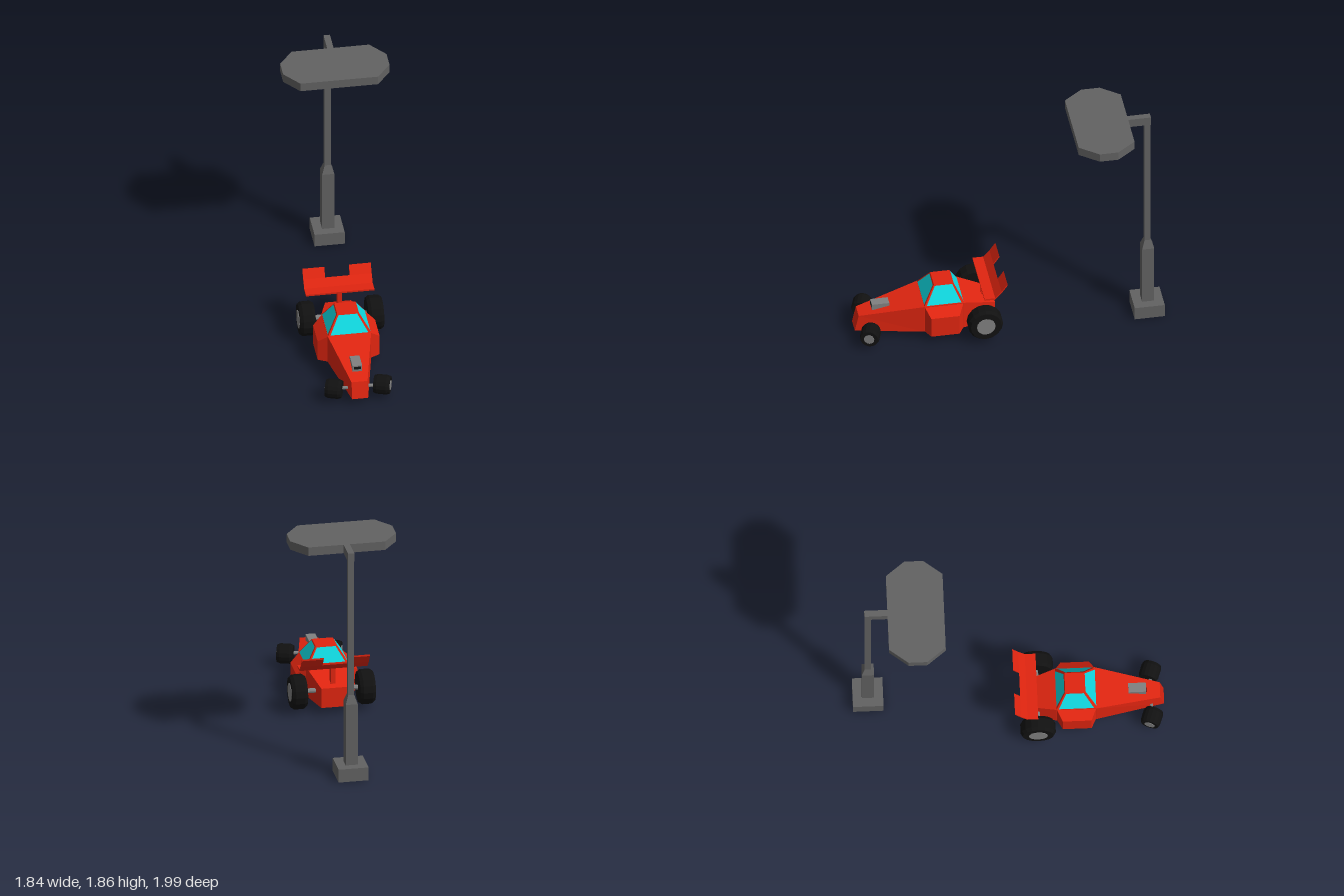
import * as THREE from 'three';

const mat = (name, color) => {
  const m = new THREE.MeshStandardMaterial({ color });
  m.name = name;
  return m;
};

// Faceted solid through cross-sections, each counter-clockwise seen from the far end
function loft(sections) {
  const pos = [];
  const tri = (a, b, c) => pos.push(...a, ...b, ...c);
  const n = sections[0].length;
  for (let i = 0; i < sections.length - 1; i++) {
    const s = sections[i], t = sections[i + 1];
    for (let j = 0; j < n; j++) {
      const k = (j + 1) % n;
      tri(s[j], s[k], t[k]);
      tri(s[j], t[k], t[j]);
    }
  }
  const first = sections[0], last = sections[sections.length - 1];
  for (let j = 1; j < n - 1; j++) {
    tri(first[0], first[j + 1], first[j]);
    tri(last[0], last[j], last[j + 1]);
  }
  const g = new THREE.BufferGeometry();
  g.setAttribute('position', new THREE.Float32BufferAttribute(pos, 3));
  g.computeVertexNormals();
  return g;
}

const mirrorX = (sections) => sections.map((s) => s.map(([x, y, z]) => [-x, y, z]).reverse());
const rect = (w, y, z0, z1) => [[w, y, z1], [w, y, z0], [-w, y, z0], [-w, y, z1]];
const plan = (pts, y0, y1) => loft([y0, y1].map((y) => pts.map(([x, z]) => [x, y, z])));

function facet(g) {
  const f = g.toNonIndexed();
  f.computeVertexNormals();
  return f;
}

export function createModel() {
  const red = mat('redPaint', 0xe02510);
  const glass = mat('cyanGlass', 0x10d8e0);
  const rubber = mat('blackRubber', 0x111111);
  const metal = mat('greyMetal', 0x808080);
  const steel = mat('darkGreySteel', 0x626262);
  const lightMat = mat('lightPanel', 0xdcdcdc);

  const add = (parent, name, geo, material) => {
    const m = new THREE.Mesh(geo, material);
    m.name = name;
    parent.add(m);
    return m;
  };
  const box = (parent, name, material, size, at) => {
    const m = add(parent, name, new THREE.BoxGeometry(...size), material);
    m.position.set(...at);
    return m;
  };

  const model = new THREE.Group();
  model.name = 'raceCarAndFloodlight';

  // ---- Car, built facing +z and then turned ----
  const car = new THREE.Group();
  car.name = 'raceCar';
  car.position.set(0.3, 0, 0.37);
  car.rotation.y = Math.PI / 4;
  model.add(car);

  // Hull: rear deck, cockpit section, sloping nose
  const hull = [[-0.42, -0.42, 0.1, 0.22], [-0.166, -0.166, 0.168, 0.297],
    [0.14, 0.14, 0.168, 0.297], [0.662, 0.632, 0.062, 0.197]];
  add(car, 'hull', loft(hull.map(([zb, zt, w, y]) =>
    [[w, 0.06, zb], [w, y, zt], [-w, y, zt], [-w, 0.06, zb]])), red);

  // Side pods
  const pod = [[0.16, -0.166, 0.14, 0.297], [0.24, -0.121, 0.099, 0.23]].map(([x, z0, z1, y]) =>
    [[x, 0.06, z0], [x, y, z0], [x, y, z1], [x, 0.06, z1]]);
  add(car, 'leftPod', loft(pod), red);
  add(car, 'rightPod', loft(mirrorX(pod)), red);

  // Cabin and its four windows
  const low = rect(0.166, 0.295, -0.166, 0.14), high = rect(0.08, 0.435, -0.096, 0.051);
  add(car, 'cabin', loft([low, high]), red);
  ['leftWindow', 'rearWindow', 'rightWindow', 'windscreen'].forEach((name, j) => {
    const [a, b, c, d] = [low[j], low[(j + 1) % 4], high[(j + 1) % 4], high[j]]
      .map((p) => new THREE.Vector3(...p));
    const out = b.clone().sub(a).cross(d.clone().sub(a)).normalize().multiplyScalar(0.003);
    const at = (u, v) => a.clone().lerp(b, u).lerp(d.clone().lerp(c, u), v).add(out);
    const pts = [at(0.05, 0.04), at(0.95, 0.04), at(0.93, 0.94), at(0.07, 0.94)];
    const g = new THREE.BufferGeometry().setFromPoints([0, 1, 2, 0, 2, 3].map((i) => pts[i]));
    g.computeVertexNormals();
    add(car, name, g, glass);
  });

  // Rear wing: flat blade, upswept middle and two raised flaps
  const wing = new THREE.Group();
  wing.name = 'rearWing';
  car.add(wing);
  const blade = (name, x0, x1, [z0, y0], [z1, y1]) => add(wing, name, loft([x0, x1].map((x) =>
    [[x, y0, z0], [x, y1, z1], [x, y1 + 0.014, z1], [x, y0 + 0.014, z0]])), red);
  blade('wingBlade', -0.265, 0.265, [-0.31, 0.37], [-0.392, 0.37]);
  blade('wingSlope', -0.265, 0.265, [-0.392, 0.37], [-0.442, 0.425]);
  blade('leftFlap', 0.095, 0.265, [-0.442, 0.425], [-0.488, 0.492]);
  blade('rightFlap', -0.265, -0.095, [-0.442, 0.425], [-0.488, 0.492]);
  box(wing, 'wingStrut', red, [0.035, 0.17, 0.045], [0, 0.292, -0.35]);

  // Bonnet scoop
  box(car, 'bonnetScoop', metal, [0.075, 0.07, 0.135], [0, 0.236, 0.457]);
  box(car, 'scoopOpening', rubber, [0.055, 0.022, 0.004], [0, 0.25, 0.525]);

  // Wheels and axles
  const wheel = (name, r, w, hubR, side, y, z, steer) => {
    const g = new THREE.Group();
    g.name = name;
    g.position.set(side[0], y, z);
    g.rotation.y = steer;
    car.add(g);
    const profile = [[0, -0.5], [0.88, -0.5], [1, -0.3], [1, 0.3], [0.88, 0.5], [0, 0.5]]
      .map(([a, b]) => new THREE.Vector2(a * r, b * w));
    add(g, 'tyre', facet(new THREE.LatheGeometry(profile, 16)), rubber).rotation.z = Math.PI / 2;
    const hub = add(g, 'hub', facet(new THREE.CylinderGeometry(hubR, hubR, 0.008, 16)), metal);
    hub.rotation.z = Math.PI / 2;
    hub.position.x = Math.sign(side[0]) * w * 0.5;
  };
  for (const [s, label] of [[1, 'Left'], [-1, 'Right']]) {
    wheel('rear' + label + 'Wheel', 0.135, 0.12, 0.072, [s * 0.264], 0.165, -0.312, 0);
    wheel('front' + label + 'Wheel', 0.077, 0.125, 0.04, [s * 0.187], 0.105, 0.563, -0.33);
  }
  for (const [name, r, len, y, z] of [['frontAxle', 0.013, 0.36, 0.105, 0.563],
    ['rearAxle', 0.02, 0.48, 0.165, -0.312]]) {
    const a = add(car, name, facet(new THREE.CylinderGeometry(r, r, len, 8)), metal);
    a.rotation.z = Math.PI / 2;
    a.position.set(0, y, z);
  }

  // ---- Floodlight, head reaching toward +z before turning ----
  const lamp = new THREE.Group();
  lamp.name = 'floodlight';
  lamp.position.set(-0.757, 0, -0.836);
  lamp.rotation.y = Math.PI / 4;
  model.add(lamp);

  box(lamp, 'base', steel, [0.234, 0.107, 0.234], [0, 0.0535, 0]);
  add(lamp, 'pole', loft([[0.047, 0.1], [0.047, 0.61], [0.0235, 0.68], [0.0235, 1.8]]
    .map(([w, y]) => rect(w, y, -w, w))), steel);
  box(lamp, 'arm', steel, [0.05, 0.07, 0.2], [0, 1.825, 0.074]);

  // Eight-sided head with six light panels underneath
  const head = new THREE.Group();
  head.name = 'lampHead';
  head.position.z = 0.368;
  lamp.add(head);
  const octagon = [[0.3, 0.217], [0.412, 0.072], [0.412, -0.072], [0.3, -0.217],
    [-0.3, -0.217], [-0.412, -0.072], [-0.412, 0.072], [-0.3, 0.217]];
  add(head, 'housing', plan(octagon, 1.79, 1.86), steel);
  for (const sx of [1, -1]) {
    for (const sz of [-1, 0, 1]) {
      const shape = sz === 0
        ? [[0.025, 0.058], [0.39, 0.058], [0.39, -0.058], [0.025, -0.058]]
        : [[0.025, 0.198], [0.285, 0.198], [0.375, 0.082], [0.025, 0.082]];
      const pts = shape.map(([x, z]) => [x * sx, z * (sz || 1)]);
      if (sx * (sz || 1) < 0) pts.reverse();
      add(head, 'lightPanel', plan(pts, 1.786, 1.792), lightMat);
    }
  }
  return model;
}
